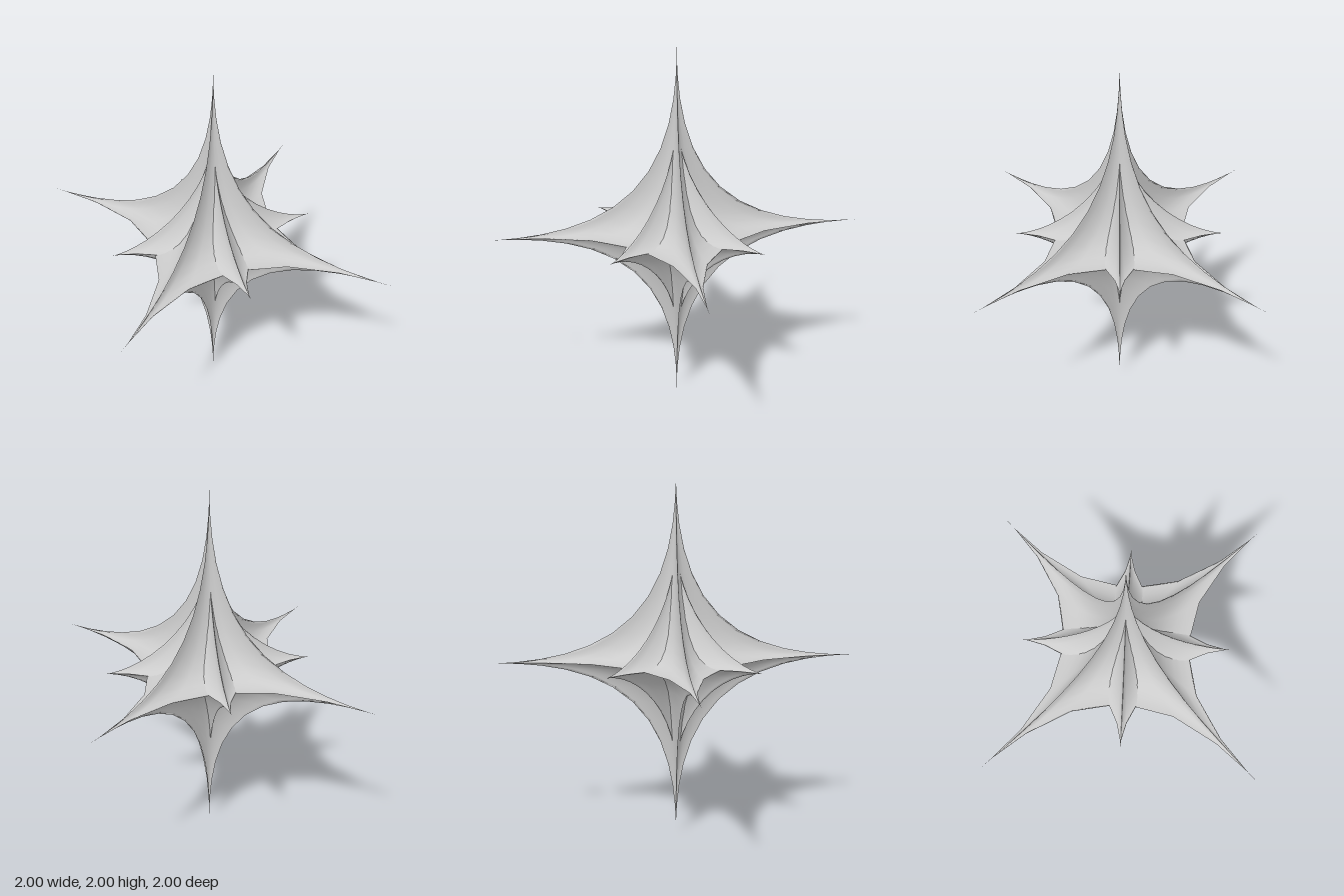
import * as THREE from 'three';
import { mergeVertices } from 'three/addons/utils/BufferGeometryUtils.js';

const material = new THREE.MeshStandardMaterial({ color: 0xcccccc });

// Six-pointed star: a unit sphere whose coordinates are raised to a power,
// which pulls the faces in and leaves a spike on each axis.
function spikedStar(name, power, radius, height) {
  const sphere = new THREE.SphereGeometry(1, 32, 32);
  const pos = sphere.attributes.position;
  const pinch = (v) => Math.sign(v) * Math.min(1, Math.abs(v)) ** power;
  for (let i = 0; i < pos.count; i++) {
    pos.setXYZ(
      i,
      pinch(pos.getX(i)) * radius,
      pinch(pos.getY(i)) * height,
      pinch(pos.getZ(i)) * radius
    );
  }
  // Weld the seam so the shading is continuous
  sphere.deleteAttribute('uv');
  sphere.deleteAttribute('normal');
  const geometry = mergeVertices(sphere, 1e-6);
  geometry.computeVertexNormals();
  const mesh = new THREE.Mesh(geometry, material);
  mesh.name = name;
  mesh.position.y = 1;
  return mesh;
}

export function createModel() {
  const group = new THREE.Group();
  group.name = 'star';

  // Long spikes along the axes
  group.add(spikedStar('mainStar', 4.2, 1, 1));

  // Shorter spikes between the horizontal ones
  const diagonal = spikedStar('diagonalStar', 3.2, 0.56, 0.6);
  diagonal.rotation.y = Math.PI / 4;
  group.add(diagonal);

  return group;
}
